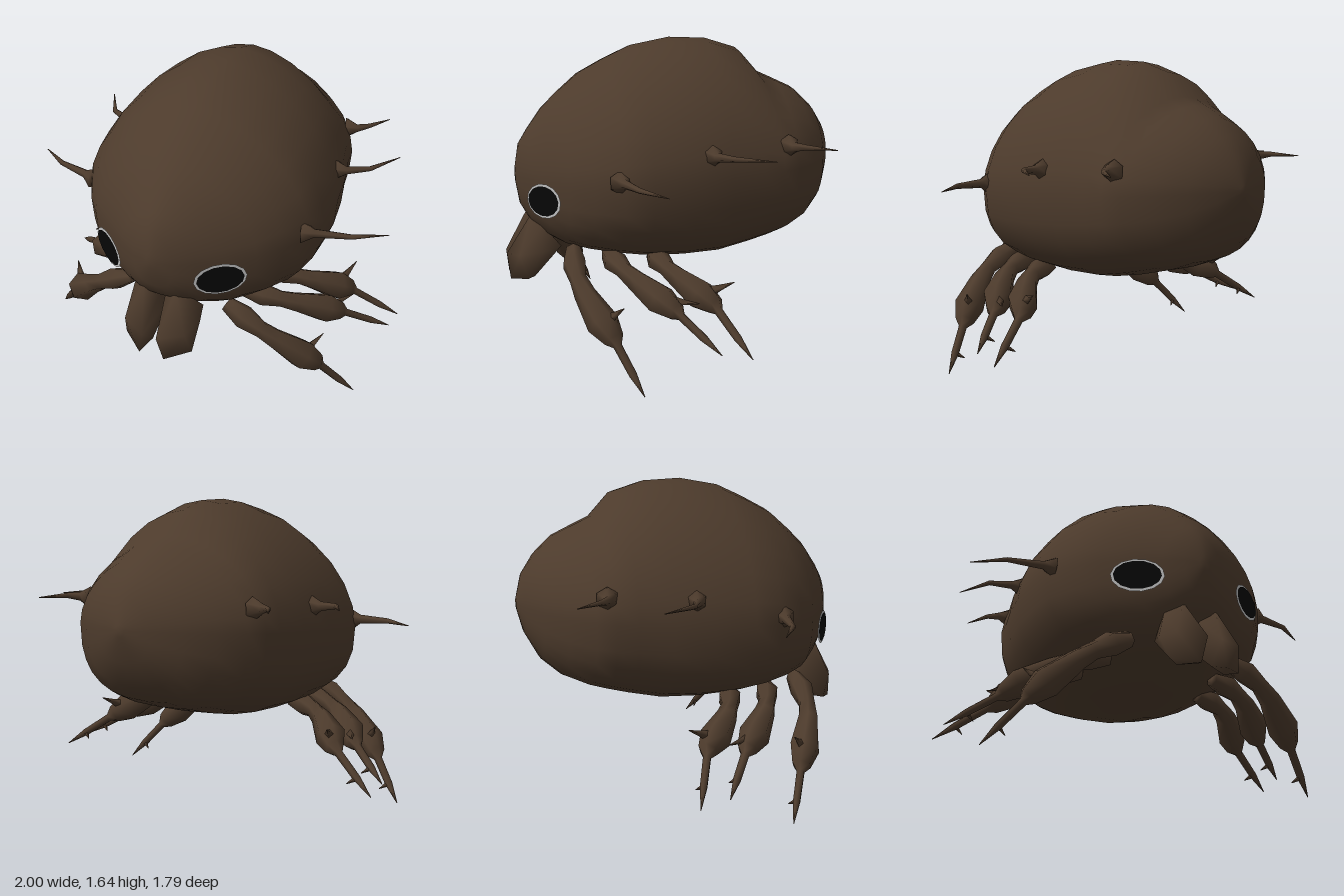
import * as THREE from 'three';
import { mergeVertices } from 'three/addons/utils/BufferGeometryUtils.js';
import { ConvexGeometry } from 'three/addons/geometries/ConvexGeometry.js';

const brown = new THREE.MeshStandardMaterial({ name: 'brown shell', color: 0x4d3b2c });
const black = new THREE.MeshStandardMaterial({ name: 'black eye', color: 0x060606 });
const grey = new THREE.MeshStandardMaterial({ name: 'grey eye rim', color: 0xbcbcbc });

// Skin over rings of equal point count, closed at both ends
function loft(rings) {
  const n = rings[0].length, pos = [], idx = [];
  const centre = (ring) => ring.reduce((s, p) => s.add(p), new THREE.Vector3()).divideScalar(n);
  rings.forEach((ring) => ring.forEach((p) => pos.push(p.x, p.y, p.z)));
  for (let i = 0; i < rings.length - 1; i++) {
    for (let j = 0; j < n; j++) {
      const a = i * n + j, b = i * n + (j + 1) % n;
      idx.push(a, a + n, b, b, a + n, b + n);
    }
  }
  const first = rings.length * n, last = (rings.length - 1) * n;
  for (const ring of [rings[0], rings[rings.length - 1]]) pos.push(...centre(ring).toArray());
  for (let j = 0; j < n; j++) {
    const k = (j + 1) % n;
    idx.push(first, j, k, first + 1, last + k, last + j);
  }
  const g = new THREE.BufferGeometry();
  g.setAttribute('position', new THREE.Float32BufferAttribute(pos, 3));
  g.setIndex(idx);
  g.computeVertexNormals();
  return g;
}

// Tapering limb through points with one radius each
function limb(pts, radii, sides = 6) {
  return loft(pts.map((p, i) => {
    const d = pts[Math.min(i + 1, pts.length - 1)].clone().sub(pts[Math.max(i - 1, 0)]).normalize();
    const u = new THREE.Vector3(0, 1, 0).addScaledVector(d, -d.y).normalize();
    const v = u.clone().cross(d);
    return Array.from({ length: sides }, (_, j) => {
      const a = (j / sides) * Math.PI * 2;
      return p.clone().addScaledVector(u, radii[i] * Math.cos(a)).addScaledVector(v, radii[i] * Math.sin(a));
    });
  }));
}

// Convex block with smooth shading
function smoothHull(points) {
  const g = new ConvexGeometry(points);
  g.deleteAttribute('normal');
  const merged = mergeVertices(g);
  merged.computeVertexNormals();
  return merged;
}

// Body sections, front to back: [z, top, bottom, half width]
const BODY = [
  [0.84, 0.97, 0.89, 0.03], [0.82, 1.09, 0.77, 0.11], [0.77, 1.17, 0.68, 0.205], [0.69, 1.28, 0.61, 0.325],
  [0.6, 1.365, 0.565, 0.455], [0.49, 1.46, 0.54, 0.55], [0.35, 1.535, 0.52, 0.635], [0.21, 1.6, 0.5, 0.655],
  [0, 1.64, 0.49, 0.655], [-0.2, 1.632, 0.495, 0.625], [-0.37, 1.58, 0.53, 0.585], [-0.48, 1.455, 0.56, 0.57],
  [-0.57, 1.415, 0.585, 0.53], [-0.69, 1.36, 0.635, 0.43], [-0.79, 1.27, 0.72, 0.3], [-0.86, 1.17, 0.85, 0.16],
  [-0.895, 1.04, 0.98, 0.03],
];

function bodyGeometry(n = 28) {
  return loft(BODY.map(([z, top, bottom, w]) => Array.from({ length: n }, (_, j) => {
    const a = (j / n) * Math.PI * 2, c = Math.cos(a), s = Math.sin(a);
    const mid = 0.97 - 0.05 * z; // height of the widest point
    const e = s >= 0 ? 2 / 1.77 : 2 / 2.6; // fuller below than above
    const h = s >= 0 ? top - mid : mid - bottom;
    return new THREE.Vector3(
      Math.sign(c) * w * Math.abs(c) ** e, mid + Math.sign(s) * h * Math.abs(s) ** e, z);
  })));
}

// Leg joints: hip, knee, tip and the end of the knee spur
const LEGS = {
  frontLeg: [[0.28, 0.57, 0.57], [0.735, 0.235, 0.435], [0.92, 0.005, 0.32], [0.75, 0.395, 0.385]],
  middleLeg: [[0.3, 0.54, 0.39], [0.75, 0.36, 0.13], [0.99, 0.21, -0.04], [0.79, 0.405, 0.02]],
  rearLeg: [[0.35, 0.54, 0.16], [0.735, 0.37, -0.07], [1, 0.18, -0.19], [0.74, 0.485, -0.17]],
};
// Positions along the thigh and shin, and the radii shared by all legs
const THIGH = [0, 0.22, 0.42, 0.58, 0.86, 1];
const SHIN = [0.12, 0.62, 1];
const LEG_RADII = [0.04, 0.063, 0.045, 0.055, 0.082, 0.052, 0.022, 0.02, 0.002];

// Side spines: base, bend and tip
const SPINES = {
  frontSpine: [[0.66, 0.99, 0.36], [0.84, 0.995, 0.32], [1, 0.99, 0.22]],
  middleSpine: [[0.66, 1.1, -0.1], [0.77, 1.11, -0.15], [0.88, 1.11, -0.33]],
  rearSpine: [[0.575, 1.12, -0.525], [0.63, 1.125, -0.57], [0.71, 1.12, -0.7]],
};

const MANDIBLE = [
  [0.015, 0.66, 0.74], [0.09, 0.73, 0.765], [0.17, 0.67, 0.72], [0.2, 0.54, 0.72], [0.04, 0.5, 0.9], [0.17, 0.52, 0.84],
  [0.07, 0.365, 0.885], [0.035, 0.4, 0.8], [0.19, 0.395, 0.8], [0.13, 0.39, 0.76], [0.01, 0.55, 0.64], [0.17, 0.56, 0.62],
];

export function createModel() {
  const model = new THREE.Group();
  const add = (parent, name, geometry, material = brown) => {
    const mesh = new THREE.Mesh(geometry, material);
    mesh.name = name;
    parent.add(mesh);
    return mesh;
  };
  add(model, 'body', bodyGeometry());

  for (const side of [1, -1]) {
    const prefix = side > 0 ? 'left ' : 'right ';
    const toPoint = ([x, y, z]) => new THREE.Vector3(x * side, y, z);

    // Legs: arched thigh, thin shin, knee spur and small claw
    for (const [name, joints] of Object.entries(LEGS)) {
      const [hip, knee, tip, spurTip] = joints.map(toPoint);
      const thigh = THIGH.map((t) => {
        const arch = Math.sin(Math.PI * t);
        return hip.clone().lerp(knee, t).add(new THREE.Vector3(0, 0.04 * arch, 0.06 * arch));
      });
      const shin = SHIN.map((t) => knee.clone().lerp(tip, t));
      const spurMid = thigh[4].clone().lerp(spurTip, 0.6);
      const clawTip = shin[1].clone().add(new THREE.Vector3(-0.045 * side, -0.03, -0.025));

      const group = new THREE.Group();
      group.name = prefix + name;
      add(group, 'leg', limb([...thigh, ...shin], LEG_RADII));
      add(group, 'spur', limb([thigh[4], spurMid, spurTip], [0.04, 0.015, 0.002], 4));
      add(group, 'claw', limb([shin[1], clawTip], [0.016, 0.002], 4));
      model.add(group);
    }

    // Spines, each flaring into the shell
    for (const [name, nodes] of Object.entries(SPINES)) {
      const pts = nodes.map(toPoint);
      const root = pts[0].clone().add(new THREE.Vector3(-0.06 * side, -0.005, 0.01));
      add(model, prefix + name, limb([root, ...pts], [0.06, 0.024, 0.014, 0.002]));
    }

    // Jaw
    add(model, prefix + 'mandible', smoothHull(MANDIBLE.map(toPoint)));

    // Flat oval eye with a thin rim
    const eye = new THREE.Group();
    eye.name = prefix + 'eye';
    eye.position.set(0.314 * side, 0.843, 0.719);
    eye.rotation.set(0, side * 0.59, side * 0.1);
    add(eye, 'eye rim', new THREE.CircleGeometry(1, 14), grey).scale.set(0.134, 0.09, 1);
    const pupil = add(eye, 'pupil', new THREE.CircleGeometry(1, 14), black);
    pupil.scale.set(0.12, 0.078, 1);
    pupil.position.z = 0.004;
    model.add(eye);
  }
  return model;
}
